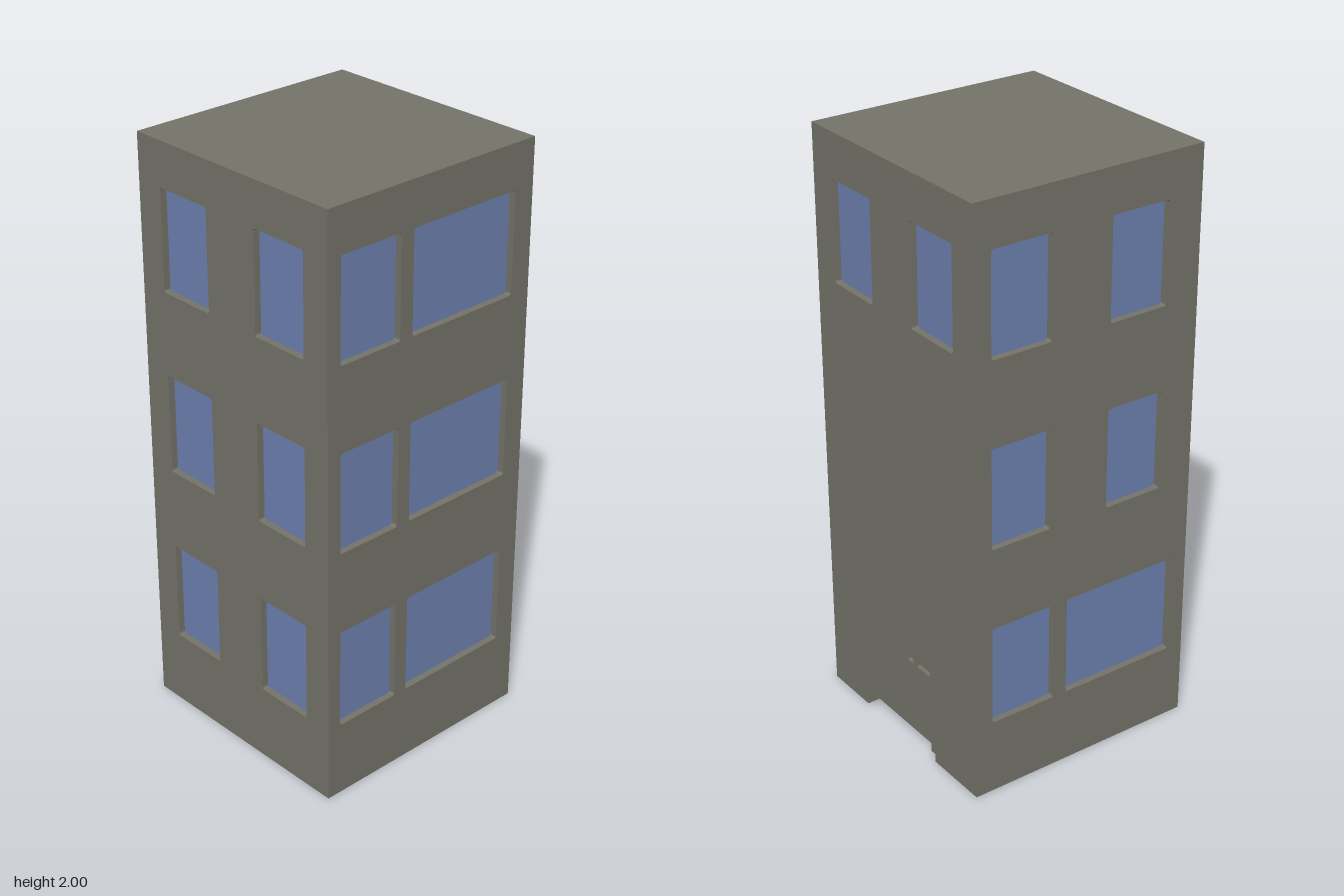
import * as THREE from 'three';

const W = 0.415, H = 2, RECESS = 0.023;
const FLOORS = [[0.26, 0.605], [0.885, 1.225], [1.51, 1.85]];
const DOOR = { l: -0.185, r: 0.163, y: 0.03, top: 0.605 };
const NOTCH = { l: -0.215, r: 0.185, depth: 0.06 };

const polygon = (pts) => new THREE.Shape(pts.map(([x, y]) => new THREE.Vector2(x, y)));

// counter-clockwise rectangle with softly rounded corners
function roundRect(l, r, b, t, rad) {
  const s = new THREE.Shape();
  s.absarc(r - rad, b + rad, rad, -Math.PI / 2, 0);
  s.absarc(r - rad, t - rad, rad, 0, Math.PI / 2);
  s.absarc(l + rad, t - rad, rad, Math.PI / 2, Math.PI);
  s.absarc(l + rad, b + rad, rad, Math.PI, Math.PI * 1.5);
  s.closePath();
  return s;
}

// strip running inwards from z0 to z1 along a path of [x, y] points
function reveal(path, z0, z1) {
  const pos = [];
  for (let i = 0; i < path.length - 1; i++) {
    const [ax, ay] = path[i], [bx, by] = path[i + 1];
    pos.push(ax, ay, z0, bx, by, z0, bx, by, z1, ax, ay, z0, bx, by, z1, ax, ay, z1);
  }
  const g = new THREE.BufferGeometry();
  g.setAttribute('position', new THREE.Float32BufferAttribute(pos, 3));
  g.computeVertexNormals();
  return g;
}

export function createModel() {
  const wallMat = new THREE.MeshStandardMaterial({ color: 0x76756b });
  wallMat.name = 'concrete';
  const glassMat = new THREE.MeshStandardMaterial({ color: 0x6f82b2 });
  glassMat.name = 'glass';

  const building = new THREE.Group();
  building.name = 'building';

  const add = (parent, name, geo, mat, z = 0) => {
    const m = new THREE.Mesh(geo, mat);
    m.name = name;
    m.position.z = z;
    parent.add(m);
    return m;
  };

  // sunken opening: four reveals and a back plate
  function pocket(parent, name, shape, z, depth, mat) {
    const path = shape.getPoints(3).map((p) => [p.x, p.y]);
    path.push(path[0]);
    add(parent, name + 'Reveal', reveal(path, z, z - depth), wallMat);
    add(parent, name, new THREE.ShapeGeometry(shape, 3), mat, z - depth);
  }

  // one wall, facing +z before it is turned into place
  function wall(name, angle, windows, outline) {
    const g = new THREE.Group();
    g.name = name;
    g.rotation.y = angle;
    g.position.set(Math.sin(angle) * W, 0, Math.cos(angle) * W);
    const face = polygon(outline);
    for (const [l, r, floor] of windows) {
      const s = roundRect(l, r, ...FLOORS[floor], 0.008);
      face.holes.push(s);
      pocket(g, 'window', s, 0, RECESS, glassMat);
    }
    add(g, 'wallFace', new THREE.ShapeGeometry(face, 3), wallMat);
    building.add(g);
    return g;
  }

  const plain = [[-W, 0], [W, 0], [W, H], [-W, H]];
  const row = (spans, floor) => spans.map(([l, r]) => [l, r, floor]);
  const pair = [[-0.315, -0.105], [0.105, 0.315]];
  const wide = [[-0.365, -0.13], [-0.08, 0.34]];
  const wideRight = [[-0.352, -0.117], [-0.066, 0.354]];
  const narrowRight = [[-0.352, -0.137], [0.08, 0.29]];

  wall('frontWall', 0, [0, 1, 2].flatMap((f) => row(pair, f)), plain);
  wall('leftWall', Math.PI / 2, [0, 1, 2].flatMap((f) => row(wide, f)), plain);
  wall('rightWall', -Math.PI / 2,
    [...row(wideRight, 0), ...row(narrowRight, 1), ...row(narrowRight, 2)], plain);

  // back wall with the doorway and a shallow notch under it
  const back = wall('backWall', Math.PI, row(pair, 2), [
    [-W, 0], [NOTCH.l, 0], [NOTCH.l, DOOR.y], [DOOR.l, DOOR.y], [DOOR.l, DOOR.top],
    [DOOR.r, DOOR.top], [DOOR.r, DOOR.y], [NOTCH.r, DOOR.y], [NOTCH.r, 0],
    [W, 0], [W, H], [-W, H],
  ]);
  add(back, 'doorReveal', reveal([[DOOR.r, DOOR.y], [DOOR.r, DOOR.top],
    [DOOR.l, DOOR.top], [DOOR.l, DOOR.y]], 0, -RECESS), wallMat);
  add(back, 'notchRightSide',
    reveal([[NOTCH.r, 0], [NOTCH.r, DOOR.y], [DOOR.r, DOOR.y]], 0, -NOTCH.depth), wallMat);
  add(back, 'notchTop',
    reveal([[DOOR.r, DOOR.y], [DOOR.l, DOOR.y]], -RECESS, -NOTCH.depth), wallMat);
  add(back, 'notchLeftSide',
    reveal([[DOOR.l, DOOR.y], [NOTCH.l, DOOR.y], [NOTCH.l, 0]], 0, -NOTCH.depth), wallMat);
  add(back, 'notchBack', new THREE.ShapeGeometry(polygon([[NOTCH.l, 0], [NOTCH.r, 0],
    [NOTCH.r, DOOR.y], [NOTCH.l, DOOR.y]])), wallMat, -NOTCH.depth);

  // door leaf with two small sunken fittings
  const door = polygon([[DOOR.l, DOOR.y], [DOOR.r, DOOR.y], [DOOR.r, DOOR.top], [DOOR.l, DOOR.top]]);
  const fittings = { lock: [0.002, 0.033], handlePocket: [0.055, 0.137] };
  for (const [name, [l, r]] of Object.entries(fittings)) {
    const s = roundRect(l, r, 0.288, 0.343, 0.004);
    door.holes.push(s);
    pocket(back, name, s, -RECESS, 0.015, wallMat);
  }
  add(back, 'door', new THREE.ShapeGeometry(door, 3), wallMat, -RECESS);

  // roof, and the underside cut around the notch
  const roof = add(building, 'roof', new THREE.PlaneGeometry(2 * W, 2 * W), wallMat);
  roof.rotation.x = -Math.PI / 2;
  roof.position.y = H;
  const inner = -W + NOTCH.depth;
  const base = add(building, 'underside', new THREE.ShapeGeometry(polygon([
    [-W, -W], [-NOTCH.r, -W], [-NOTCH.r, inner], [-NOTCH.l, inner], [-NOTCH.l, -W],
    [W, -W], [W, W], [-W, W],
  ])), wallMat);
  base.rotation.x = Math.PI / 2;

  return building;
}
